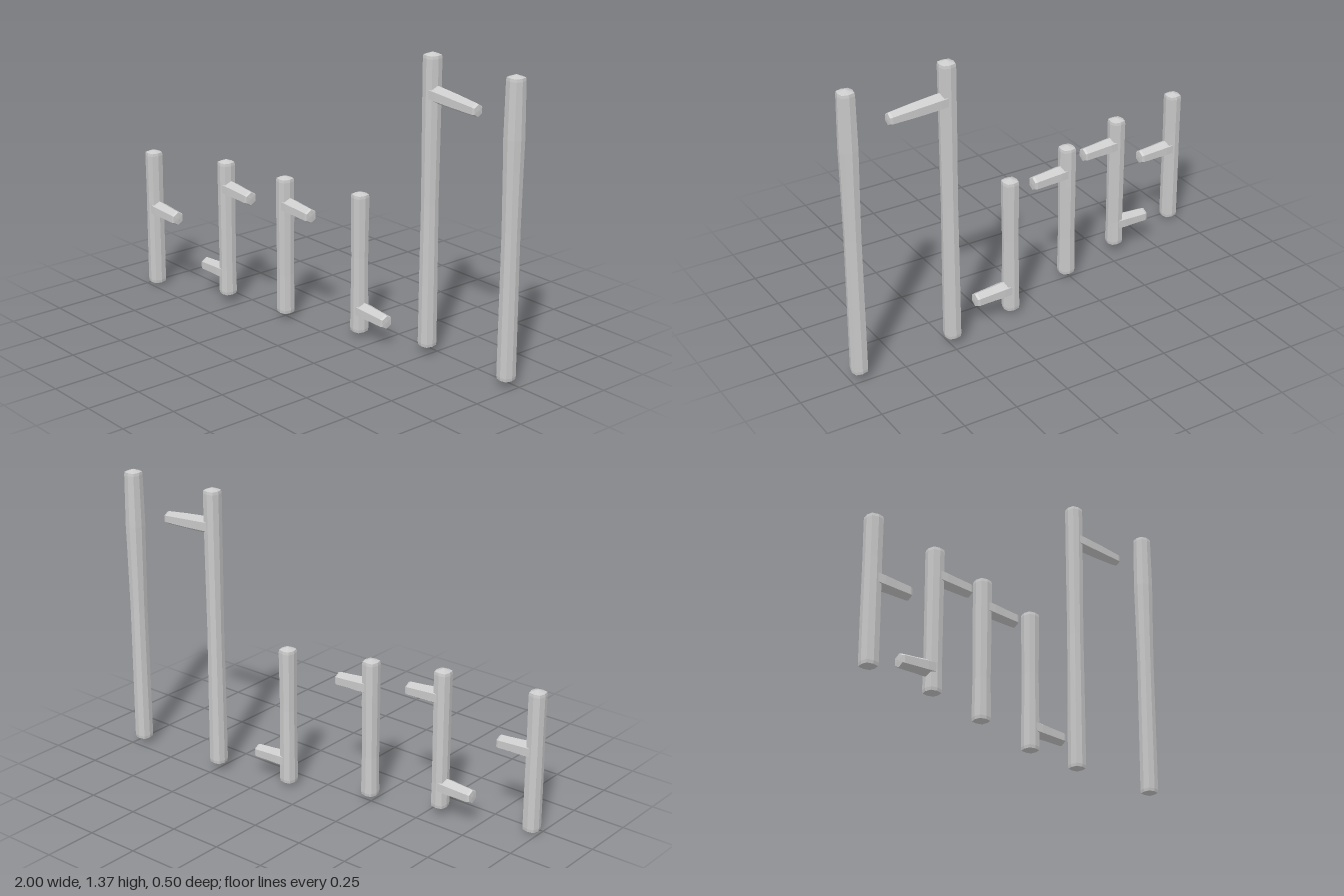
import * as THREE from 'three';

const material = new THREE.MeshStandardMaterial({ color: 0xcccccc, flatShading: true, side: THREE.DoubleSide });

// Turned low-poly stick along +y from [radius, height] stations
function stick(stations, sides) {
  return new THREE.LatheGeometry(stations.map(([r, y]) => new THREE.Vector2(r, y)), sides);
}

// Upright post: eight-sided, squared off at the diagonals, with shallow pointed ends
function makePost({ x, z, y0, y1, waist }) {
  const body = waist.map(([t, r]) => [r, y0 + t * (y1 - y0)]);
  const geo = stick([
    [0, y0], [0.034, y0 + 0.014], [0.036, y0 + 0.028],
    ...body,
    [0.036, y1 - 0.026], [0.034, y1 - 0.013], [0, y1],
  ], 8);
  const p = geo.attributes.position;
  for (let i = 0; i < p.count; i++) {
    const a = Math.atan2(p.getZ(i), p.getX(i));
    const k = 1 + 0.14 * Math.abs(Math.sin(2 * a)); // push the corners outward
    p.setX(i, p.getX(i) * k);
    p.setZ(i, p.getZ(i) * k);
  }
  geo.computeVertexNormals();
  const mesh = new THREE.Mesh(geo, material);
  mesh.name = 'post';
  mesh.position.set(x, 0, z);
  return mesh;
}

// Side peg: six-sided, ridge up, leaning down a little towards its tip
function makePeg({ x, z }, { side, y, reach, drop, tip = 0.033 }) {
  const geo = stick([
    [0.038, 0], [0.039, 0.045], [0.036, reach * 0.55], [tip + 0.001, reach - 0.012],
    [tip - 0.003, reach - 0.002], [0, reach],
  ], 6);
  geo.applyMatrix4(new THREE.Matrix4().makeBasis(
    new THREE.Vector3(0, 0, side), new THREE.Vector3(side, 0, 0), new THREE.Vector3(0, 1, 0)));
  const p = geo.attributes.position;
  for (let i = 0; i < p.count; i++) {
    p.setY(i, p.getY(i) - drop * Math.abs(p.getX(i)) / reach);
  }
  geo.computeVertexNormals();
  const mesh = new THREE.Mesh(geo, material);
  mesh.name = side > 0 ? 'leftPeg' : 'rightPeg';
  mesh.position.set(x, y, z);
  return mesh;
}

export function createModel() {
  const model = new THREE.Group();
  model.name = 'postRow';

  // Waist entries are [fraction of height, radius]
  const posts = [
    { x: -0.964, z: 0.215, y0: 0.003, y1: 0.68, waist: [[0.3, 0.036], [0.7, 0.035]],
      pegs: [{ side: 1, y: 0.392, reach: 0.185, drop: 0.01 }] },
    { x: -0.56, z: 0.095, y0: 0.033, y1: 0.705, waist: [[0.2, 0.034], [0.6, 0.035]],
      pegs: [{ side: 1, y: 0.571, reach: 0.185, drop: 0.012 },
        { side: -1, y: 0.15, reach: 0.173, drop: 0.006 }] },
    { x: -0.235, z: 0.011, y0: 0.018, y1: 0.69, waist: [[0.3, 0.034], [0.7, 0.036]],
      pegs: [{ side: 1, y: 0.555, reach: 0.185, drop: 0.012 }] },
    { x: 0.139, z: -0.11, y0: 0.011, y1: 0.684, waist: [[0.2, 0.035], [0.55, 0.033]],
      pegs: [{ side: 1, y: 0.13, reach: 0.185, drop: 0.01 }] },
    { x: 0.49, z: -0.197, y0: 0.032, y1: 1.37, waist: [[0.25, 0.035], [0.5, 0.033], [0.75, 0.035]],
      pegs: [{ side: 1, y: 1.193, reach: 0.277, drop: 0.02, tip: 0.029 }] },
    { x: 0.956, z: -0.214, y0: 0.024, y1: 1.365, waist: [[0.25, 0.035], [0.5, 0.034], [0.7, 0.037], [0.8, 0.039]],
      pegs: [] },
  ];

  for (const spec of posts) {
    const unit = new THREE.Group();
    unit.name = 'peggedPost';
    unit.add(makePost(spec), ...spec.pegs.map((peg) => makePeg(spec, peg)));
    model.add(unit);
  }
  return model;
}
